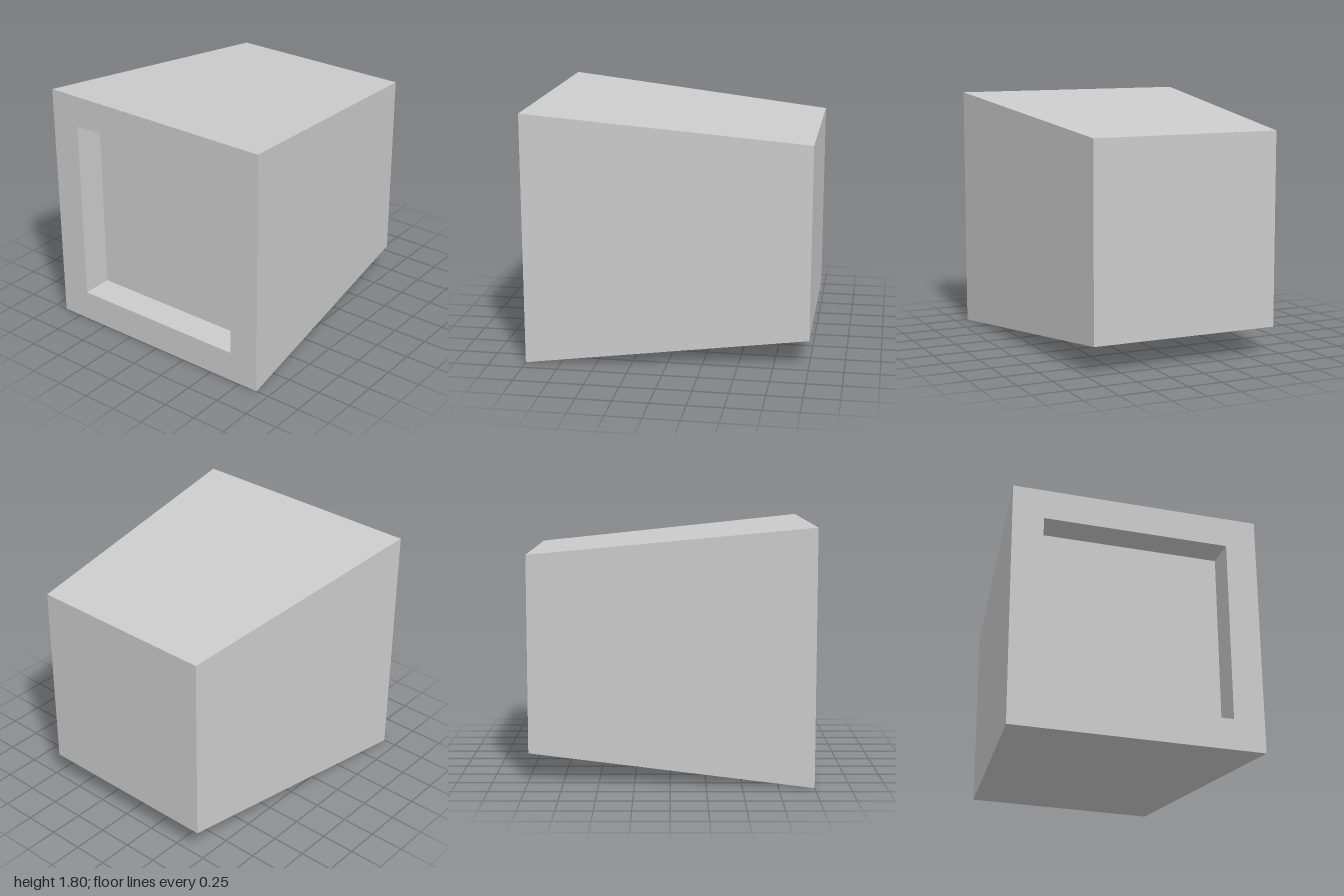
import * as THREE from 'three';

export function createModel() {
  const group = new THREE.Group();
  group.name = 'taperedHousing';

  // Half-width and depth of each square section, from the back centre,
  // over the outer walls and front rim, into the recess
  const profile = [
    [0, -1],
    [0.7, -1],
    [0.9, 1],
    [0.675, 1],
    [0.675, 0.775],
    [0, 0.775],
  ].map(([half, z]) => new THREE.Vector2(half * Math.SQRT2, z));

  // Four-sided lathe turned so its axis runs front to back
  const geometry = new THREE.LatheGeometry(profile, 4, Math.PI / 4)
    .rotateX(Math.PI / 2)
    .translate(0, 0.9, 0)
    .toNonIndexed();
  geometry.computeVertexNormals();

  const material = new THREE.MeshStandardMaterial({ color: 0xcccccc, flatShading: true });
  const housing = new THREE.Mesh(geometry, material);
  housing.name = 'housing';
  group.add(housing);
  return group;
}
